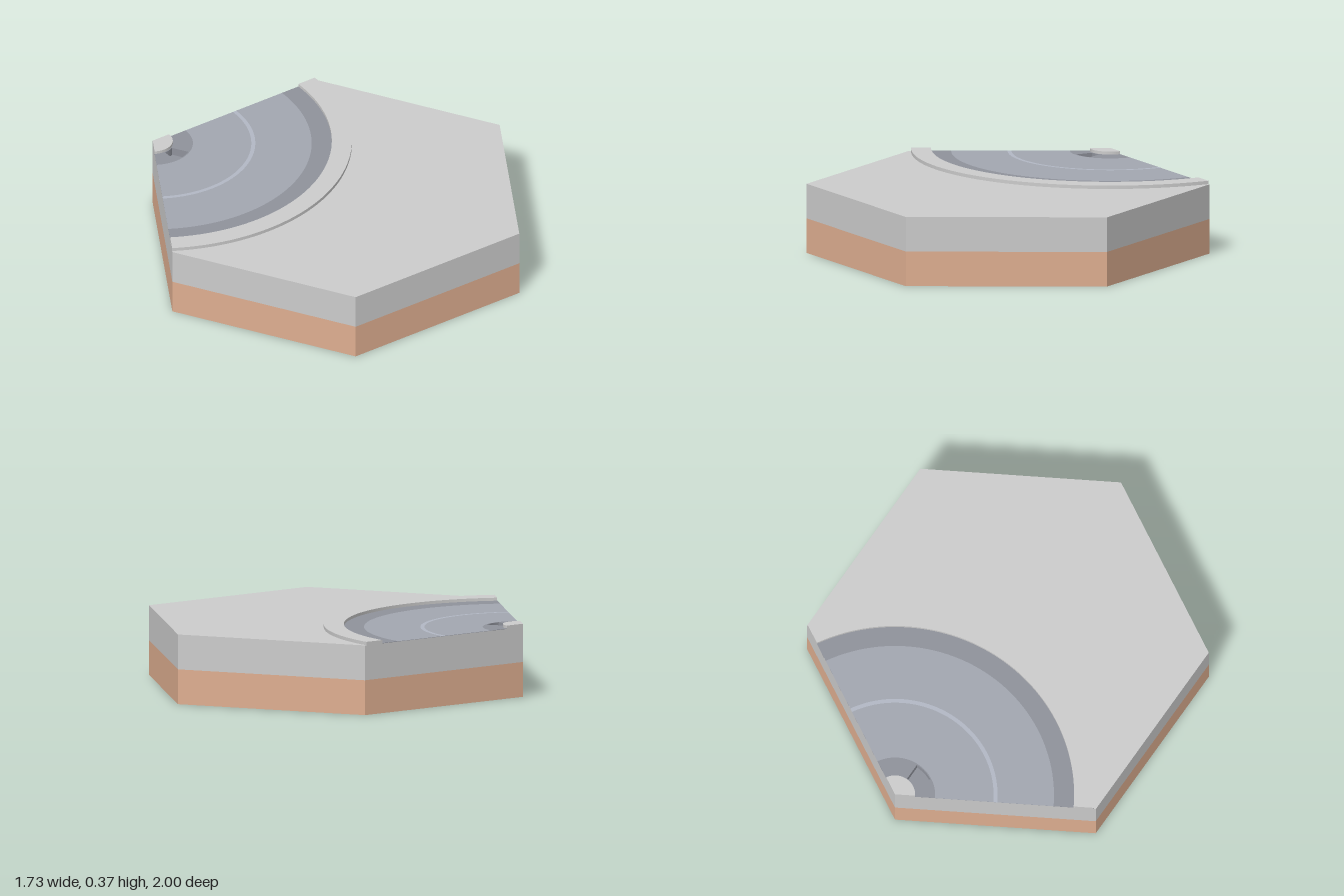
import * as THREE from 'three';
import { toCreasedNormals } from 'three/addons/utils/BufferGeometryUtils.js';

const CORNER = [-0.866, 0.5]; // bend centre, in shape coordinates (x, -z)
const deg = THREE.MathUtils.degToRad;
const START = deg(-90), END = deg(30);

// Outline of a ring sector around the bend centre
function sectorPoints(inner, outer, start = START, end = END, steps = 48) {
  const at = (r, a) => new THREE.Vector2(CORNER[0] + r * Math.cos(a), CORNER[1] + r * Math.sin(a));
  const points = [];
  for (let i = 0; i <= steps; i++) points.push(at(outer, start + (end - start) * i / steps));
  if (inner === 0) points.push(at(0, 0));
  else for (let i = steps; i >= 0; i--) points.push(at(inner, start + (end - start) * i / steps));
  return points;
}

function hexPoints() {
  return Array.from({ length: 6 }, (_, i) => {
    const a = deg(30 + 60 * i);
    return new THREE.Vector2(Math.cos(a), Math.sin(a));
  });
}

// Extrudes an outline upwards between two heights
function slab(name, points, bottom, top, color, hole) {
  const shape = new THREE.Shape(points);
  if (hole) shape.holes.push(new THREE.Path(hole));
  let geometry = new THREE.ExtrudeGeometry(shape, { depth: top - bottom, bevelEnabled: false });
  geometry.rotateX(-Math.PI / 2).translate(0, bottom, 0);
  geometry = toCreasedNormals(geometry, deg(30));
  const mesh = new THREE.Mesh(geometry, new THREE.MeshStandardMaterial({ color }));
  mesh.name = name;
  return mesh;
}

export function createModel() {
  const model = new THREE.Group();
  model.name = 'hexRoadTile';
  const GREY = 0xcccccc, EARTH = 0xdeae90, ROAD = 0xa2a6b0, GUTTER = 0x8f929b, LINE = 0xb2b8c4;
  const ground = 0.35, road = 0.352, curb = 0.367;

  // Tile body with a pocket for the drain
  const drain = sectorPoints(0.105, 0.195, deg(-60), deg(-30), 12);
  const pocket = sectorPoints(0.103, 0.197, deg(-61), deg(-29), 12);
  model.add(slab('earthLayer', hexPoints(), 0, 0.175, EARTH));
  model.add(slab('pavementLayer', hexPoints(), 0.175, ground, GREY, pocket));

  // Road surface, from the inner gutter outwards
  model.add(slab('innerGutter', sectorPoints(0.1, 0.2), 0.31, road, GUTTER, drain));
  model.add(slab('drainFloor', drain, 0.3, 0.312, GUTTER));
  model.add(slab('innerLane', sectorPoints(0.2, 0.49), ground, road, ROAD));
  model.add(slab('centreLine', sectorPoints(0.49, 0.51), ground, road, LINE));
  model.add(slab('outerLane', sectorPoints(0.51, 0.79), ground, road, ROAD));
  model.add(slab('outerGutter', sectorPoints(0.79, 0.89), ground, road, GUTTER));

  // Raised curbs
  model.add(slab('innerCurb', sectorPoints(0, 0.1), ground, curb, GREY));
  model.add(slab('outerCurb', sectorPoints(0.89, 0.99), ground, curb, GREY));
  return model;
}
